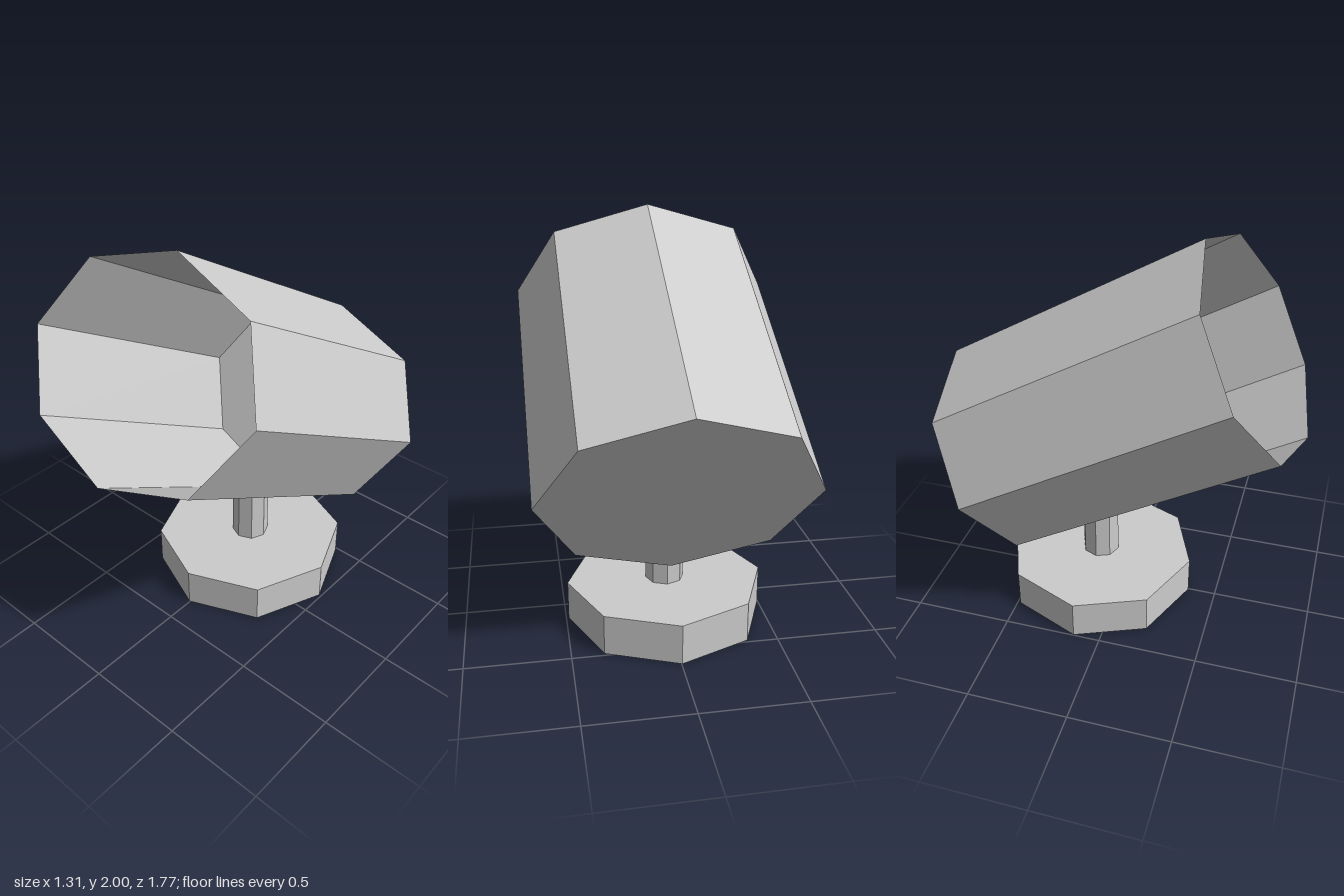
import * as THREE from 'three';

export function createModel() {
  const model = new THREE.Group();
  const solid = new THREE.MeshStandardMaterial({ color: 0xcccccc, flatShading: true });
  const thin = new THREE.MeshStandardMaterial({ color: 0xcccccc, flatShading: true, side: THREE.DoubleSide });

  const add = (parent, name, geometry, material, x = 0, y = 0, z = 0) => {
    const mesh = new THREE.Mesh(geometry, material);
    mesh.name = name;
    mesh.position.set(x, y, z);
    parent.add(mesh);
    return mesh;
  };
  const octagon = (radius, height) => new THREE.CylinderGeometry(radius, radius, height, 8);

  // Foot and post, set back under the drum
  add(model, 'base', octagon(0.492, 0.2), solid, -0.004, 0.1, -0.137);
  add(model, 'post', octagon(0.096, 0.38), solid, -0.002, 0.37, -0.137);

  // Flattened octagonal drum, thin walled, open end tipped up 30 degrees towards the front
  const length = 1.43;
  const drum = new THREE.Group();
  drum.name = 'drum';
  drum.position.set(0, 1.182, 0.002);
  drum.rotation.x = Math.PI / 3;
  drum.scale.set(0.655, 1, 0.531);
  add(drum, 'drumWall', new THREE.CylinderGeometry(1, 1, length, 8, 1, true), thin);
  add(drum, 'drumBack', new THREE.CircleGeometry(1, 8).rotateX(Math.PI / 2), thin, 0, -length / 2, 0);
  model.add(drum);

  return model;
}
